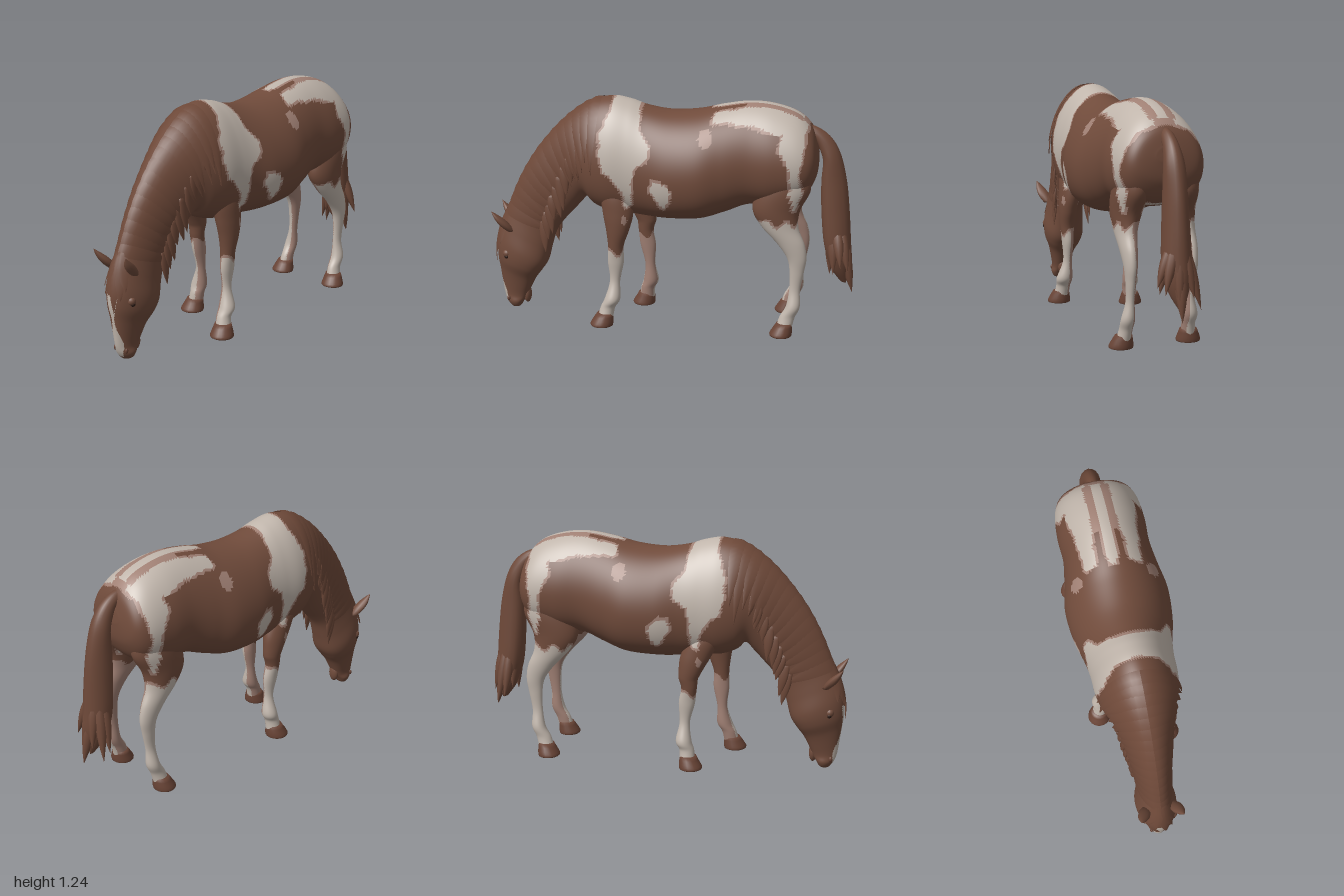
import * as THREE from 'three';

const mat = (name, color, side = THREE.FrontSide) => {
  const m = new THREE.MeshStandardMaterial({ color, side });
  m.name = name;
  return m;
};
const COAT = 0, WHITE = 1, PINK = 2;

// Smooth interpolation through rows of numbers, t runs over row indices
function sample(rows, t) {
  const n = rows.length - 1, i = Math.min(Math.floor(t), n - 1), u = t - i;
  const [a, b, c, d] = [Math.max(i - 1, 0), i, i + 1, Math.min(i + 2, n)].map(k => rows[k]);
  return b.map((_, k) => b[k] + 0.5 * u * (c[k] - a[k] +
    u * (2 * a[k] - 5 * b[k] + 4 * c[k] - d[k] + u * (3 * (b[k] - c[k]) + d[k] - a[k]))));
}

// Closed skin over rings point(t, angle), capped, with a colour picked per face
function loft(point, tMax, nt, na, paint = () => COAT) {
  const p = [], faces = [];
  for (let i = 0; i <= nt; i++)
    for (let j = 0; j < na; j++) p.push(point(tMax * i / nt, 2 * Math.PI * j / na));
  const at = (i, j) => i * na + j % na;
  for (let i = 0; i < nt; i++) for (let j = 0; j < na; j++)
    faces.push([at(i, j), at(i + 1, j), at(i + 1, j + 1)], [at(i, j), at(i + 1, j + 1), at(i, j + 1)]);
  for (const i of [0, nt]) {
    const c = new THREE.Vector3();
    for (let j = 0; j < na; j++) c.addScaledVector(p[at(i, j)], 1 / na);
    p.push(c);
    for (let j = 0; j < na; j++)
      faces.push(i ? [p.length - 1, at(i, j + 1), at(i, j)] : [p.length - 1, at(i, j), at(i, j + 1)]);
  }
  // Turn the skin outward if its volume is negative
  let vol = 0;
  const v = new THREE.Vector3();
  for (const [a, b, c] of faces) vol += p[a].dot(v.crossVectors(p[b], p[c]));
  const groups = [[], [], []];
  for (const [a, b, c] of faces) {
    v.copy(p[a]).add(p[b]).add(p[c]).divideScalar(3);
    groups[paint(v.x, v.y, v.z)].push(a, ...(vol < 0 ? [c, b] : [b, c]));
  }
  const g = new THREE.BufferGeometry().setFromPoints(p);
  g.setIndex(groups.flat());
  let start = 0;
  groups.forEach((f, k) => { if (f.length) g.addGroup(start, f.length, k); start += f.length; });
  g.computeVertexNormals();
  return g;
}

// Signed distance to a polygon, negative inside
function polyDist(poly, x, y) {
  let d = Infinity, inside = false;
  poly.forEach(([ax, ay], i) => {
    const [bx, by] = poly[(i + 1) % poly.length], ex = bx - ax, ey = by - ay;
    const u = Math.min(1, Math.max(0, ((x - ax) * ex + (y - ay) * ey) / (ex * ex + ey * ey)));
    d = Math.min(d, Math.hypot(x - ax - u * ex, y - ay - u * ey));
    if ((ay > y) !== (by > y) && x < ax + (y - ay) * ex / ey) inside = !inside;
  });
  return inside ? -d : d;
}

// Coat patches: side outlines as (z, y), rump outlines as (x, z)
const sidePatches = [
  [[.29, 1.3], [.17, 1.3], [.16, 1.13], [.13, 1.05], [.085, 1.01], [.105, .94], [.17, .9], [.185, .8], [.195, .7],
    [.22, .68], [.25, .8], [.33, .87], [.365, .965], [.355, 1.07], [.31, 1.18]],
  [[.03, .85], [-.005, .82], [-.025, .78], [-.02, .73], [.01, .69], [.04, .73], [.085, .785], [.07, .84]],
  [[-.24, 1.15], [-.32, 1.145], [-.42, 1.18], [-.53, 1.165], [-.6, 1.1], [-.59, 1.02], [-.625, .96], [-.65, .91],
    [-.64, .8], [-.675, .7], [-.705, .8], [-.69, .88], [-.705, 1.02], [-.725, 1.135], [-.6, 1.19], [-.45, 1.21], [-.3, 1.19]],
];
const rumpPatches = [
  [[-.028, -.7], [.028, -.7], [.028, -.4], [.022, -.22], [-.022, -.22]],
  [[.09, -.24], [.14, -.24], [.15, -.35], [.17, -.5], [.22, -.62], [.22, -.72], [.05, -.73], [.055, -.68],
    [.06, -.55], [.075, -.4]],
];
function bodyPaint(x, y, z) {
  x = Math.abs(x);
  // Blaze down the face
  if (z > .9 && y < .37) return y > .025 && x < .021 + .012 * Math.cos(y * 24 - 2.4) ? WHITE : COAT;
  if (x > .03 && Math.hypot((z + .2) / .036, (y - 1.07) / .044) < 1) return PINK;
  if (y < .66 && Math.hypot((z - .23) / .014, (y - .605) / .026) < 1) return PINK;
  // Pink bands beside the spine
  if (y > 1.15 && z < -.4 && z > -.7 && x > .028 && x < .07) return PINK;
  let d = Math.min(...sidePatches.map(p => polyDist(p, z, y)));
  if (y > 1.1 && z < -.15) d = Math.min(d, ...rumpPatches.map(p => polyDist(p, x, z)));
  d += .004 * Math.sin(z * 45 + y * 30) + .003 * Math.sin(y * 70);
  return d < 0 ? WHITE : d < .012 ? PINK : COAT;
}

// Rows: top z, top y, bottom z, bottom y, half width, from rump to muzzle
const trunk = [
  [-.775, 1.03, -.785, .96, .06], [-.745, 1.115, -.775, .85, .17], [-.67, 1.185, -.71, .75, .223],
  [-.55, 1.225, -.56, .7, .24], [-.42, 1.235, -.42, .69, .235], [-.28, 1.215, -.3, .645, .255],
  [-.15, 1.185, -.17, .605, .28], [0, 1.175, 0, .595, .268], [.13, 1.195, .12, .6, .238],
  [.22, 1.225, .22, .61, .224], [.32, 1.24, .33, .62, .22], [.44, 1.21, .41, .65, .198],
  [.56, 1.13, .455, .69, .165], [.67, 1.02, .5, .645, .135], [.77, .89, .55, .59, .115],
  [.85, .75, .6, .535, .1], [.91, .61, .645, .47, .093], [.955, .51, .675, .38, .1],
  [.98, .41, .7, .29, .112], [.985, .32, .735, .235, .103], [.975, .24, .775, .18, .075],
  [.965, .16, .81, .11, .056], [.955, .09, .825, .075, .048], [.94, .045, .845, .045, .052],
  [.915, .012, .86, .018, .036], [.89, .004, .87, .012, .008],
];
const tailRows = [
  [-.7, 1.13, -.7, 1.06, .03], [-.78, 1.105, -.76, 1.04, .035], [-.85, 1.05, -.79, .98, .045],
  [-.9, .96, -.805, .92, .055], [-.935, .82, -.8, .81, .06], [-.955, .66, -.805, .66, .068],
  [-.968, .5, -.82, .5, .075], [-.975, .4, -.84, .41, .068], [-.965, .32, -.87, .33, .045], [-.95, .25, -.92, .26, .008],
];
function section(rows, t, a, k = 1) {
  const [tz, ty, bz, by, w] = sample(rows, t);
  const c = Math.cos(a), s = Math.sin(a), h = k * (c - .17 * s * s) / 2;
  // Fuller below the widest line than above it
  const x = Math.sign(s) * Math.abs(s) ** (c < 0 ? .78 : 1);
  return new THREE.Vector3(k * w * x, (ty + by) / 2 + (ty - by) * h, (tz + bz) / 2 + (tz - bz) * h);
}

// Leg rows: y, front z, back z, inner x, outer x
const foreLeg = [
  [.86, .34, .24, .07, .15], [.74, .365, .195, .07, .194], [.63, .352, .188, .095, .205], [.54, .335, .21, .11, .205],
  [.45, .325, .24, .12, .197], [.36, .328, .24, .125, .187], [.25, .318, .262, .13, .18], [.15, .345, .26, .125, .213],
  [.1, .368, .288, .13, .208], [.04, .385, .3, .135, .22],
];
const hindLeg = [
  [.98, -.6, -.69, .08, .16], [.9, -.53, -.735, .06, .2], [.8, -.47, -.752, .05, .218], [.69, -.45, -.7, .07, .217],
  [.6, -.5, -.695, .1, .21], [.51, -.585, -.73, .12, .203], [.43, -.64, -.742, .13, .195], [.35, -.655, -.73, .137, .187],
  [.25, -.655, -.713, .14, .184], [.16, -.64, -.715, .135, .205], [.1, -.608, -.69, .138, .204], [.04, -.59, -.675, .14, .215],
];
const foreHoof = [[.068, .387, .3, .132, .222], [.03, .412, .297, .124, .24], [.008, .424, .298, .12, .248], [0, .42, .3, .122, .246]];
const hindHoof = foreHoof.map(([y, f, b, i, o]) => [y, f - .98, b - .975, i, o]);
const clamp01 = v => Math.min(1, Math.max(0, v));

export function createModel() {
  const model = new THREE.Group();
  const coat = mat('brownCoat', 0x704b3b), white = mat('whitePatch', 0xc0b5ab), pink = mat('pinkSkin', 0xa08074);
  const hair = mat('brownHair', 0x6d4838, THREE.DoubleSide), hoof = mat('hoofBrown', 0x684335), dark = mat('darkBrown', 0x2e1d17);
  const skin = [coat, white, pink];
  const add = (name, geo, material, parent = model) => {
    const m = new THREE.Mesh(geo, material);
    m.name = name;
    parent.add(m);
    return m;
  };

  // Trunk, neck and head in one skin
  add('body', loft((t, a) => section(trunk, t, a), trunk.length - 1, 200, 112, bodyPaint), skin);
  add('tail', loft((t, a) => section(tailRows, t, a), tailRows.length - 1, 54, 16), hair);

  // Legs and hooves; the right foreleg stands further back
  for (const s of [1, -1]) for (const fore of [true, false]) {
    const side = s > 0 ? 'left' : 'right', part = fore ? 'Fore' : 'Hind';
    const ring = rows => (t, a) => {
      const [y, f, b, i, o] = sample(rows, t);
      const step = fore && s < 0 ? -.11 * clamp01((.8 - y) / .3) - .062 * clamp01((.45 - y) / .4) : 0;
      return new THREE.Vector3(s * ((i + o) / 2 + (o - i) / 2 * Math.cos(a)), y, (f + b) / 2 + (f - b) / 2 * Math.sin(a) + step);
    };
    const paint = (x, y, z) => {
      const edge = (fore ? .41 : .62) + .02 * Math.sin(z * 60 + x * 40);
      if (y > edge) return y > edge + .015 ? bodyPaint(x, y, z) : PINK;
      return Math.abs(x) < .152 ? PINK : WHITE;
    };
    const rows = fore ? foreLeg : hindLeg;
    add(side + part + 'Leg', loft(ring(rows), rows.length - 1, 84, 36, paint), skin);
    add(side + part + 'Hoof', loft(ring(fore ? foreHoof : hindHoof), 3, 6, 20), hoof);
  }

  let seed = 7;
  const rnd = () => (seed = (seed * 16807) % 2147483647) / 2147483647;

  // A tapering lock of hair lying on the neck, with a raised middle ridge
  function lock(t0, a0, t1, a1, wt, wa) {
    const p = [], idx = [], n = 12;
    for (let i = 0; i <= n; i++) {
      const v = i / n, taper = 1 - v ** 2.5;
      for (const e of [-1, 0, 1])
        p.push(section(trunk, t0 + (t1 - t0) * v + e * wt * taper, a0 + (a1 - a0) * v + e * wa * taper,
          1.012 + .07 * v * v + (e ? 0 : .025)));
      if (i < n) for (const k of [0, 1]) {
        const q = i * 3 + k;
        idx.push(q, q + 1, q + 3, q + 1, q + 4, q + 3);
      }
    }
    const g = new THREE.BufferGeometry().setFromPoints(p);
    g.setIndex(idx);
    g.computeVertexNormals();
    return g;
  }
  // Pointed tube between two points, fattest in its upper part
  const spike = (p0, p1, rx, rz) => loft((t, a) => {
    const r = Math.sin(Math.PI * Math.min(1, .22 + .78 * t));
    return new THREE.Vector3().lerpVectors(p0, p1, t).add(new THREE.Vector3(rx * r * Math.cos(a), 0, rz * r * Math.sin(a)));
  }, 1, 10, 10);
  const V = (x, y, z) => new THREE.Vector3(x, y, z);

  // Mane: locks lying on the neck, with loose tips hanging straight down
  const mane = new THREE.Group();
  mane.name = 'mane';
  model.add(mane);
  for (const s of [1, -1]) {
    for (let i = 0; i < 14; i++) {
      const t = 10.8 + 5.3 * i / 13;
      add('maneLock', lock(t, 0, t - .3 * rnd(), s * (1.3 + .06 * i + .4 * rnd()), .34, 0), hair, mane);
    }
    for (let i = 0; i < 11; i++) {
      const root = section(trunk, 10.9 + .46 * i, s * (1 + .085 * i), .99);
      const tip = root.clone().add(V(s * .012, -.13 - .06 * rnd(), -.03 * rnd() - .01));
      add('maneTip', spike(root, tip, .011, .026), hair, mane);
    }
  }
  for (const [a, t] of [[-.6, 18], [-.3, 18.4], [.22, 19.5], [.5, 18.6], [.65, 18]])
    add('forelock', lock(16.2, a * .4, t, a, 0, .26), hair, mane);

  // Loose tips of the tail
  for (let i = 0; i < 9; i++) {
    const a = 2 * Math.PI * i / 9, c = Math.cos(a), d = Math.sin(a);
    add('tailTip', spike(V(.03 * c, .58, -.89 + .03 * d), V(.115 * c, .22 + .14 * rnd() + .04 * (1 + d), -.92 + .06 * d), .028, .03), hair);
  }
  add('tailEnd', spike(V(0, .5, -.92), V(.01, .2, -.985), .033, .033), hair);

  // Ears, eyes and nostrils
  for (const s of [1, -1]) {
    add('ear', spike(V(s * .074, .475, .89), V(s * .112, .595, .985), .034, .028), coat);
    const eye = add('eye', new THREE.SphereGeometry(.013, 16, 12), dark);
    eye.position.set(s * .084, .328, .915);
    const lid = add('eyelid', new THREE.SphereGeometry(.024, 16, 12), coat);
    lid.position.set(s * .074, .343, .915);
    const nostril = add('nostril', new THREE.SphereGeometry(.012, 12, 10), hoof);
    nostril.scale.set(.6, 1.2, .8);
    nostril.position.set(s * .04, .065, .925);
  }
  // Lower lip
  const lip = add('lowerLip', new THREE.SphereGeometry(1, 20, 14), coat);
  lip.scale.set(.032, .052, .022);
  lip.position.set(0, .085, .825);
  return model;
}
